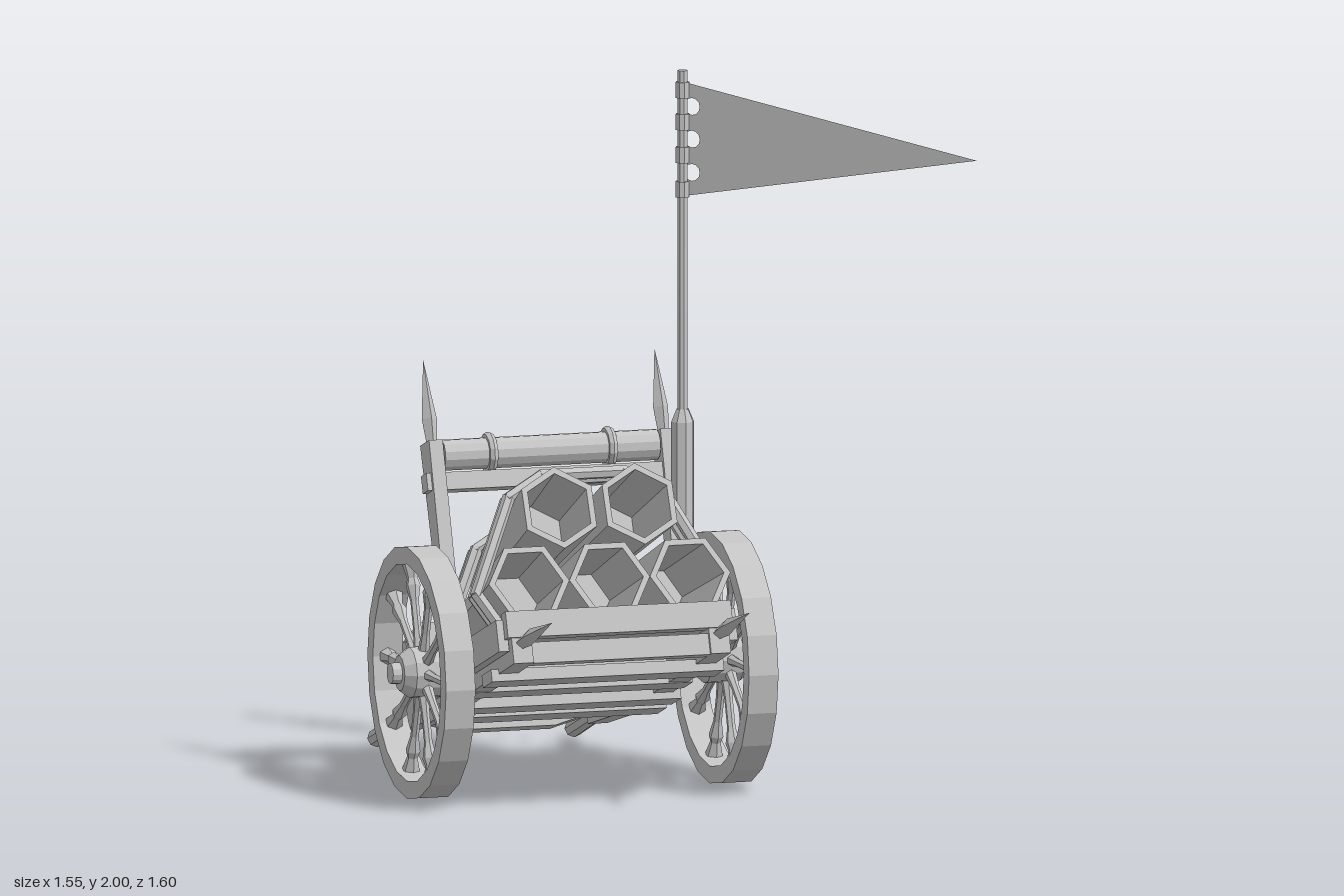
import * as THREE from 'three';

const grey = new THREE.MeshStandardMaterial({ color: 0xc4c4c4 });
const greyCloth = new THREE.MeshStandardMaterial({ color: 0xc4c4c4, side: THREE.DoubleSide });
const V2 = (a) => a.map(([x, y]) => new THREE.Vector2(x, y));

// Adds a faceted mesh to a parent
function add(parent, name, geo, x = 0, y = 0, z = 0, mat = grey) {
  const g = geo.index ? geo.toNonIndexed() : geo;
  g.computeVertexNormals();
  const m = new THREE.Mesh(g, mat);
  m.name = name;
  m.position.set(x, y, z);
  parent.add(m);
  return m;
}
const box = (w, h, d) => new THREE.BoxGeometry(w, h, d);
const cyl = (r0, r1, h, n = 8) => new THREE.CylinderGeometry(r1, r0, h, n);
const lathe = (pts, n) => new THREE.LatheGeometry(V2(pts), n);
const extrude = (pts, depth) => new THREE.ExtrudeGeometry(new THREE.Shape(V2(pts)), { depth, bevelEnabled: false }).translate(0, 0, -depth / 2);
// Side profile given as (forward, up), given a thickness across
const sidePlate = (pts, width) => extrude(pts, width).rotateY(-Math.PI / 2);
const spike = (len, r) => lathe([[0, 0], [r * 0.7, 0], [r, len * 0.3], [0, len]], 4);

// Round bar between two points
function rod(parent, name, a, b, r) {
  const d = b.clone().sub(a), len = d.length();
  const m = add(parent, name, cyl(r, r, len + r * 0.6, 6));
  m.position.copy(a).addScaledVector(d, 0.5);
  m.quaternion.setFromUnitVectors(new THREE.Vector3(0, 1, 0), d.normalize());
}

// Bundle taper: bed level, front and rear ends
const FLOOR = 0.06, FRONT = 0.42, REAR = -0.335;
function taper(p) {
  const t = (p.z - REAR) / (FRONT - REAR), s = 0.75 + 0.25 * t;
  p.x *= s;
  p.y = FLOOR + (p.y - FLOOR) * s;
  p.z -= 0.105 * t * (p.y - FLOOR);
  return p;
}

function makeWheel() {
  const w = new THREE.Group();
  w.name = 'wheel';
  const turn = (g) => g.rotateZ(-Math.PI / 2);
  add(w, 'rim', turn(lathe([[0.306, -0.043], [0.355, -0.043], [0.355, 0.043], [0.306, 0.043], [0.306, -0.043]], 20)));
  add(w, 'hub', turn(lathe([[0, -0.085], [0.05, -0.085], [0.072, -0.06], [0.072, 0.035], [0.05, 0.065],
    [0.03, 0.065], [0.03, 0.092], [0, 0.092]], 12)));
  for (let i = 0; i < 10; i++) {
    const s = add(w, 'spoke', lathe([[0.018, 0.05], [0.012, 0.12], [0.012, 0.2], [0.021, 0.245], [0.015, 0.265], [0.027, 0.312]], 6));
    s.rotation.x = (i + 0.5) * Math.PI / 5;
  }
  return w;
}

function makeBundle(cart) {
  const R = 0.118, L = FRONT - REAR, slots = [];
  for (const i of [-1, 0, 1]) slots.push([i * 0.236, 0.165, Math.PI / 6]);
  for (const i of [-1, 1]) slots.push([i * 0.118, 0.376, 0]);
  const p = new THREE.Vector3();
  // Six-sided hollow tubes
  for (const [x, y, turn] of slots) {
    const g = lathe([[0, 0], [R, 0], [R, L], [R * 0.84, L], [R * 0.84, L - 0.3], [0, L - 0.3]], 6);
    g.rotateY(turn).rotateX(Math.PI / 2).translate(x, y, REAR);
    const pos = g.attributes.position;
    for (let i = 0; i < pos.count; i++) {
      taper(p.fromBufferAttribute(pos, i));
      pos.setXYZ(i, p.x, p.y, p.z);
    }
    add(cart, 'hexTube', g);
  }
  // Doubled ropes over the bundle
  const half = [[0.3, 0.04], [0.37, 0.162], [0.235, 0.445], [0.125, 0.508]];
  const path = [...half, ...half.map(([x, y]) => [-x, y]).reverse()];
  for (const u of [0.305, 0.265, -0.17, -0.21]) {
    const pts = path.map(([x, y]) => taper(new THREE.Vector3(x, y, u)));
    for (let i = 1; i < pts.length; i++) rod(cart, 'rope', pts[i - 1], pts[i], 0.018);
  }
}

function makeFrame(cart) {
  for (const s of [-1, 1]) {
    // Long beams with handles behind and spikes in front
    const x = s * 0.289;
    add(cart, 'beam', sidePlate([[-0.72, -0.042], [-0.36, -0.075], [0.45, -0.07], [0.45, 0.02], [-0.36, 0.045], [-0.72, 0.022]], 0.058), x);
    add(cart, 'handle', cyl(0.026, 0.024, 0.235).rotateX(Math.PI / 2), x, -0.012, -0.825);
    add(cart, 'handleTip', cyl(0.014, 0.026, 0.016).rotateX(Math.PI / 2), x, -0.012, -0.948);
    add(cart, 'frontSpike', spike(0.295, 0.024).rotateX(Math.PI / 2), x, -0.012, 0.446);
    add(cart, 'sideRail', box(0.03, 0.09, 0.76), s * 0.335, 0.015, 0.045);
    // Leaning rear posts
    add(cart, 'post', sidePlate([[-0.035, -0.05], [0.01, -0.05], [0.025, 0.65], [-0.06, 0.65]], 0.04), s * 0.339);
    add(cart, 'postSpike', spike(0.24, 0.022), s * 0.339, 0.645, -0.014);
    add(cart, 'rollStrap', new THREE.TorusGeometry(0.047, 0.013, 6, 12).rotateY(Math.PI / 2), s * 0.175, 0.613, -0.017);
  }
  // Bed and its planks
  add(cart, 'bedFloor', box(0.64, 0.05, 0.77), 0, 0.03, 0.05);
  add(cart, 'frontBoard', box(0.66, 0.075, 0.045), 0, 0.04, 0.435);
  add(cart, 'frontLowerBoard', box(0.52, 0.06, 0.04), 0, -0.04, 0.42);
  for (const z of [0.26, -0.15, -0.29]) add(cart, 'underPlank', box(0.68, 0.035, 0.09), 0, -0.075, z);
  add(cart, 'axleBlock', box(0.66, 0.09, 0.09), 0, -0.03, 0);
  add(cart, 'axle', cyl(0.035, 0.035, 0.84).rotateZ(Math.PI / 2));
  add(cart, 'tailBoard', extrude([[-0.34, -0.01], [0.34, -0.01], [0.37, 0.03], [0.37, 0.15], [0.32, 0.2], [-0.32, 0.2], [-0.37, 0.15], [-0.37, 0.03]], 0.045), 0, 0, -0.36);
  // Bent bar joining the handles
  add(cart, 'pullBar', extrude([[-0.36, -0.025], [-0.24, -0.025], [-0.13, -0.055], [0.13, -0.055], [0.24, -0.025], [0.36, -0.025],
    [0.36, 0.025], [0.24, 0.025], [0.13, -0.005], [-0.13, -0.005], [-0.24, 0.025], [-0.36, 0.025]], 0.055), 0, -0.005, -0.638);
  // Bar and cloth roll between the posts
  add(cart, 'crossBar', box(0.745, 0.05, 0.05), 0, 0.535, -0.015);
  add(cart, 'clothRoll', cyl(0.044, 0.044, 0.63, 12).rotateZ(Math.PI / 2), 0, 0.613, -0.017);
}

function makeFlag(root) {
  const flag = new THREE.Group();
  flag.name = 'flag';
  flag.position.set(0.12, 0, -0.03);
  root.add(flag);
  add(flag, 'poleSocket', lathe([[0, 0.575], [0.033, 0.575], [0.033, 1.01], [0.018, 1.045], [0, 1.045]], 8));
  add(flag, 'pole', cyl(0.015, 0.015, 1.0), 0, 1.5);
  for (const y of [1.665, 1.762, 1.855, 1.945]) add(flag, 'flagLoop', cyl(0.02, 0.02, 0.045), 0, y);
  const shape = new THREE.Shape(V2([[0, 1.645], [0.92, 1.81], [0, 1.968]]));
  for (const y of [1.714, 1.808, 1.9]) {
    shape.holes.push(new THREE.Path().absarc(0.03, y, 0.024, 0, Math.PI * 2, true));
  }
  add(flag, 'pennant', new THREE.ShapeGeometry(shape, 6), 0, 0, 0, greyCloth).rotation.y = -Math.PI / 4;
}

export function createModel() {
  grey.name = 'grey';
  greyCloth.name = 'grey cloth';
  const root = new THREE.Group();
  root.name = 'cart';
  // Tilted body, pivoting on the axle
  const body = new THREE.Group();
  body.name = 'cartBody';
  body.position.set(-0.241, 0.36, 0.093);
  body.rotation.x = -0.34;
  root.add(body);
  makeFrame(body);
  makeBundle(body);
  for (const s of [-1, 1]) {
    const w = makeWheel();
    w.position.set(-0.241 + s * 0.444, 0.36, 0.093);
    if (s < 0) w.rotation.y = Math.PI;
    root.add(w);
  }
  makeFlag(root);
  return root;
}
